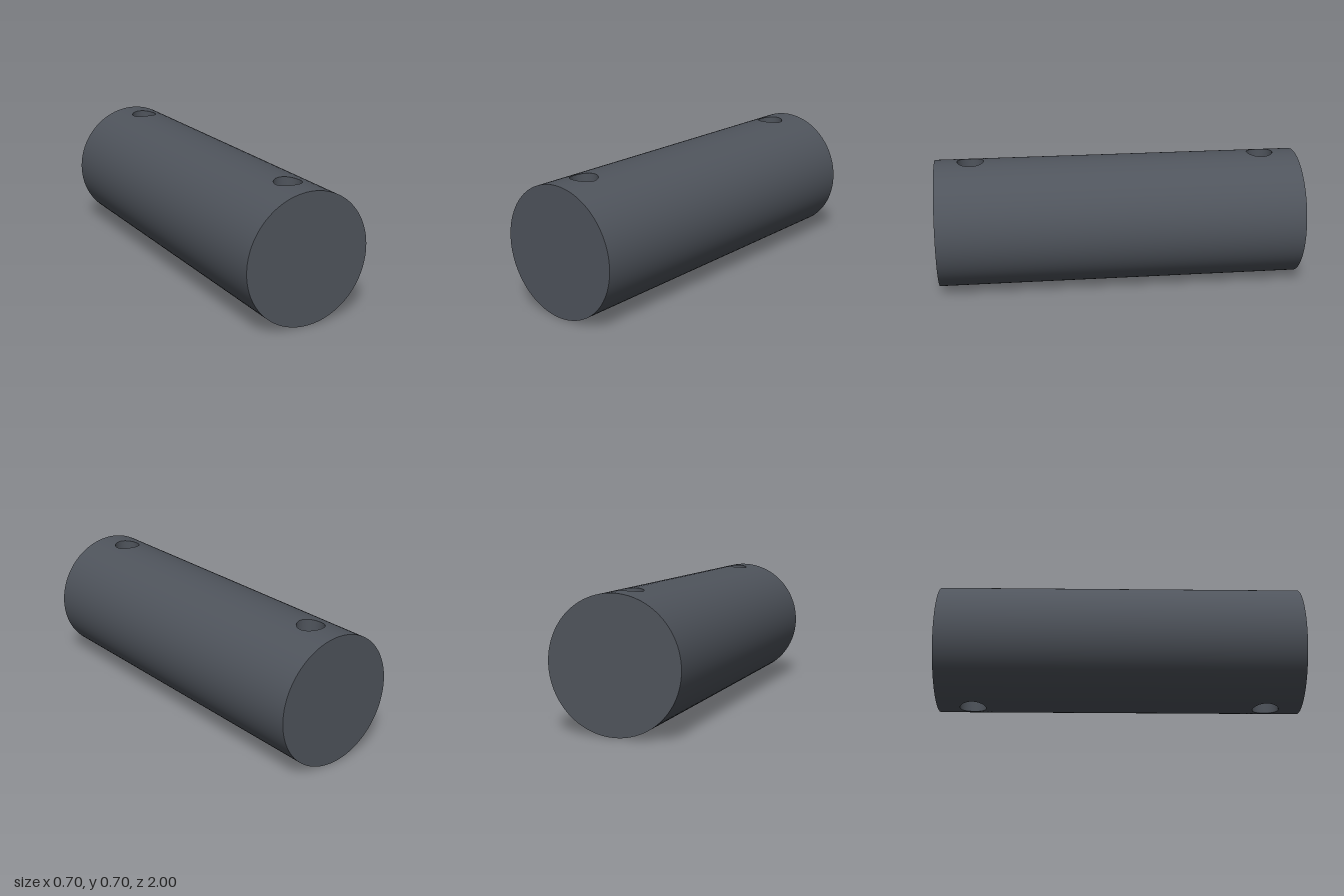
import * as THREE from 'three';
import { mergeGeometries } from 'three/addons/utils/BufferGeometryUtils.js';
import { ParametricGeometry } from 'three/addons/geometries/ParametricGeometry.js';

const R = 0.35, HALF = 1;           // pin radius and half length
const HOLE_R = 0.072, HOLE_Z = 0.805; // cross holes
const SEG = 96;
const A = Math.PI / 12;             // half angle of the strip that carries the holes
const B = 0.1;                      // half length of the patch around a hole

// Open piece of the pin's wall, from z0 to z1, angle measured from the bottom
function wall(z0, z1, start, sweep) {
  const segments = Math.round(sweep / (2 * Math.PI) * SEG);
  return new THREE.CylinderGeometry(R, R, z1 - z0, segments, 1, true, start, sweep)
    .rotateX(Math.PI / 2).translate(0, 0, (z0 + z1) / 2);
}

// Point on the rim of a hole, as [x, z]
function rim(u) {
  const t = 2 * Math.PI * u - Math.PI / 4;
  return [HOLE_R * Math.cos(t), HOLE_R * Math.sin(t)];
}

// Point on the square outline around a hole, as [x, z]
function outline(u) {
  const side = Math.min(3, Math.floor(u * 4));
  let s = 1, w = -1 + 2 * (u * 4 - side);
  for (let i = 0; i < side; i++) [s, w] = [-w, s];
  return [R * Math.sin(A * s), B * w];
}

// Curved patch of wall with a round opening
function holePatch(zc) {
  return new ParametricGeometry((u, v, p) => {
    const [x0, z0] = rim(u), [x1, z1] = outline(u);
    const x = x0 + (x1 - x0) * v;
    p.set(x, Math.sqrt(R * R - x * x), zc + z0 + (z1 - z0) * v);
  }, 32, 3);
}

// Inner wall of a through hole
function bore(zc) {
  return new ParametricGeometry((u, v, p) => {
    const [x, z] = rim(u);
    p.set(x, Math.sqrt(R * R - x * x) * (2 * v - 1), zc + z);
  }, 32, 1);
}

export function createModel() {
  const group = new THREE.Group();
  group.name = 'crossDrilledPin';
  const material = new THREE.MeshStandardMaterial({ color: 0x4f545c });
  const add = (name, geometry) => {
    const mesh = new THREE.Mesh(geometry, material);
    mesh.name = name;
    mesh.position.y = R;
    group.add(mesh);
  };

  // Round wall: two plain sides, then the drilled strips above and below
  const parts = [
    wall(-HALF, HALF, A, Math.PI - 2 * A),
    wall(-HALF, HALF, Math.PI + A, Math.PI - 2 * A),
  ];
  for (const turn of [0, Math.PI]) {
    parts.push(
      wall(-HALF, -HOLE_Z - B, turn - A, 2 * A),
      wall(-HOLE_Z + B, HOLE_Z - B, turn - A, 2 * A),
      wall(HOLE_Z + B, HALF, turn - A, 2 * A),
    );
    for (const z of [-HOLE_Z, HOLE_Z]) parts.push(holePatch(z).rotateZ(turn));
  }
  add('pinWall', mergeGeometries(parts));

  // Flat ends
  add('frontEnd', new THREE.CircleGeometry(R, SEG).translate(0, 0, HALF));
  add('backEnd', new THREE.CircleGeometry(R, SEG).rotateY(Math.PI).translate(0, 0, -HALF));

  // Through holes
  add('frontHole', bore(HOLE_Z));
  add('backHole', bore(-HOLE_Z));
  return group;
}
